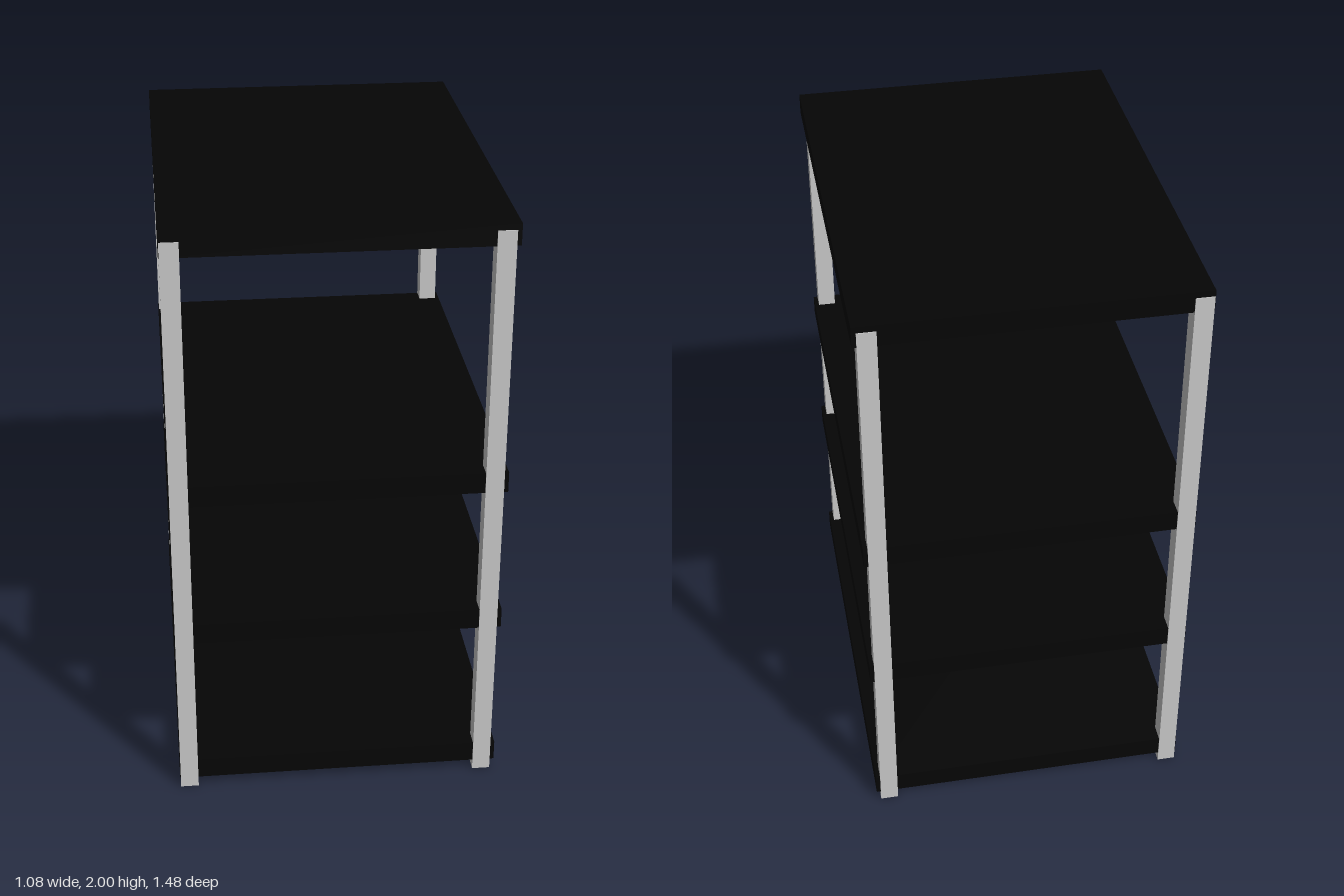
import * as THREE from 'three';

export function createModel() {
  const model = new THREE.Group();
  model.name = 'shelvingUnit';
  const grey = new THREE.MeshStandardMaterial({ color: 0xcccccc });
  const black = new THREE.MeshStandardMaterial({ color: 0x050505 });

  // Box placed by its minimum and maximum corners
  function box(name, min, max, material) {
    const size = max.map((v, i) => v - min[i]);
    const mesh = new THREE.Mesh(new THREE.BoxGeometry(...size), material);
    mesh.position.set(...max.map((v, i) => (v + min[i]) / 2));
    mesh.name = name;
    model.add(mesh);
  }

  // Four shelves, each given by its underside height
  const shelfNames = ['bottomShelf', 'lowerShelf', 'upperShelf', 'topShelf'];
  [0.035, 0.578, 1.09, 1.93].forEach((y, i) =>
    box(shelfNames[i], [-0.54, y, -0.735], [0.54, y + 0.07, 0.735], black));

  // Corner posts, set slightly proud of the shelves at front and back
  const post = 0.06;
  for (const [side, x] of [['Right', -0.538], ['Left', 0.466]]) {
    for (const [end, z] of [['front', 0.738 - post], ['back', -0.738]]) {
      box(`${end}${side}Post`, [x, 0, z], [x + post, 1.98, z + post], grey);
    }
  }
  return model;
}
